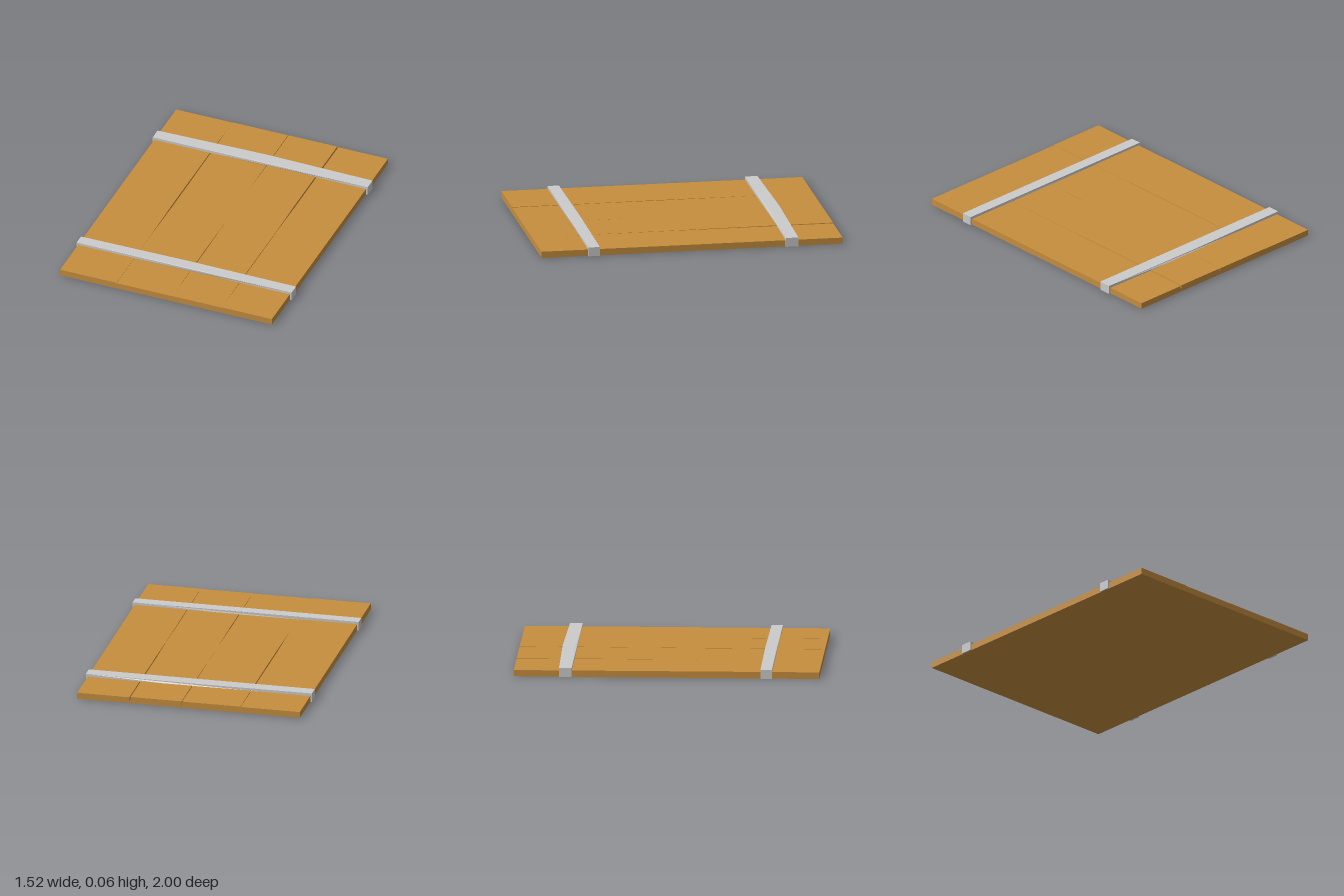
import * as THREE from 'three';

const wood = new THREE.MeshStandardMaterial({ color: 0xc68e3e, flatShading: true });
const metal = new THREE.MeshStandardMaterial({ color: 0xcccccc, flatShading: true });

// Seams between boards: x position and half gap width at each row along z
const rows = [-1, -0.62, -0.26, 0.03, 0.43, 0.62, 1];
const seams = [
  { x: -0.75, gap: [0, 0, 0, 0, 0, 0, 0] },
  { x: -0.352, gap: [0, 0.003, 0.004, 0.004, 0, 0, 0] },
  { x: 0.043, gap: [0.002, 0.002, 0, 0, 0.003, 0.002, 0] },
  { x: 0.392, gap: [0.004, 0.004, 0.004, 0.001, 0.002, 0.002, 0] },
  { x: 0.747, gap: [0, 0, 0, 0, 0, 0, 0] },
];
const backHeights = [0.041, 0.043, 0.044, 0.041];
const frontHeights = [0.044, 0.041, 0.042, 0.043];

// A board: box whose top edges draw back from the seams
function plank(i) {
  const geo = new THREE.BoxGeometry(1, 1, 1, 1, 1, rows.length - 1);
  const p = geo.attributes.position;
  for (let k = 0; k < p.count; k++) {
    const row = Math.round((p.getZ(k) + 0.5) * (rows.length - 1));
    const right = p.getX(k) > 0, top = p.getY(k) > 0;
    const seam = seams[right ? i + 1 : i];
    const inset = top ? seam.gap[row] : 0;
    const y = top ? THREE.MathUtils.lerp(backHeights[i], frontHeights[i], (rows[row] + 1) / 2) : 0;
    p.setXYZ(k, seam.x + (right ? -inset : inset), y, rows[row]);
  }
  geo.computeVertexNormals();
  const mesh = new THREE.Mesh(geo, wood);
  mesh.name = 'plank' + (i + 1);
  return mesh;
}

// A strap: bar over the boards with ends folded down, slightly bowed in z
function strap(name, z, width, bow) {
  const outline = [
    [-0.76, 0], [-0.745, 0], [-0.745, 0.036], [0, 0.036], [0.745, 0.036], [0.745, 0],
    [0.76, 0], [0.76, 0.06], [0, 0.062], [-0.76, 0.06],
  ].map(([x, y]) => new THREE.Vector2(x, y));
  const geo = new THREE.ExtrudeGeometry(new THREE.Shape(outline), { depth: width, bevelEnabled: false });
  const p = geo.attributes.position;
  for (let k = 0; k < p.count; k++) {
    p.setZ(k, p.getZ(k) + z - width / 2 - bow * (1 - Math.abs(p.getX(k)) / 0.76));
  }
  geo.computeVertexNormals();
  const mesh = new THREE.Mesh(geo, metal);
  mesh.name = name;
  return mesh;
}

export function createModel() {
  const group = new THREE.Group();
  group.name = 'plankPanel';
  for (let i = 0; i < 4; i++) group.add(plank(i));
  group.add(strap('backStrap', -0.662, 0.083, 0.012));
  group.add(strap('frontStrap', 0.653, 0.075, 0.004));
  return group;
}
